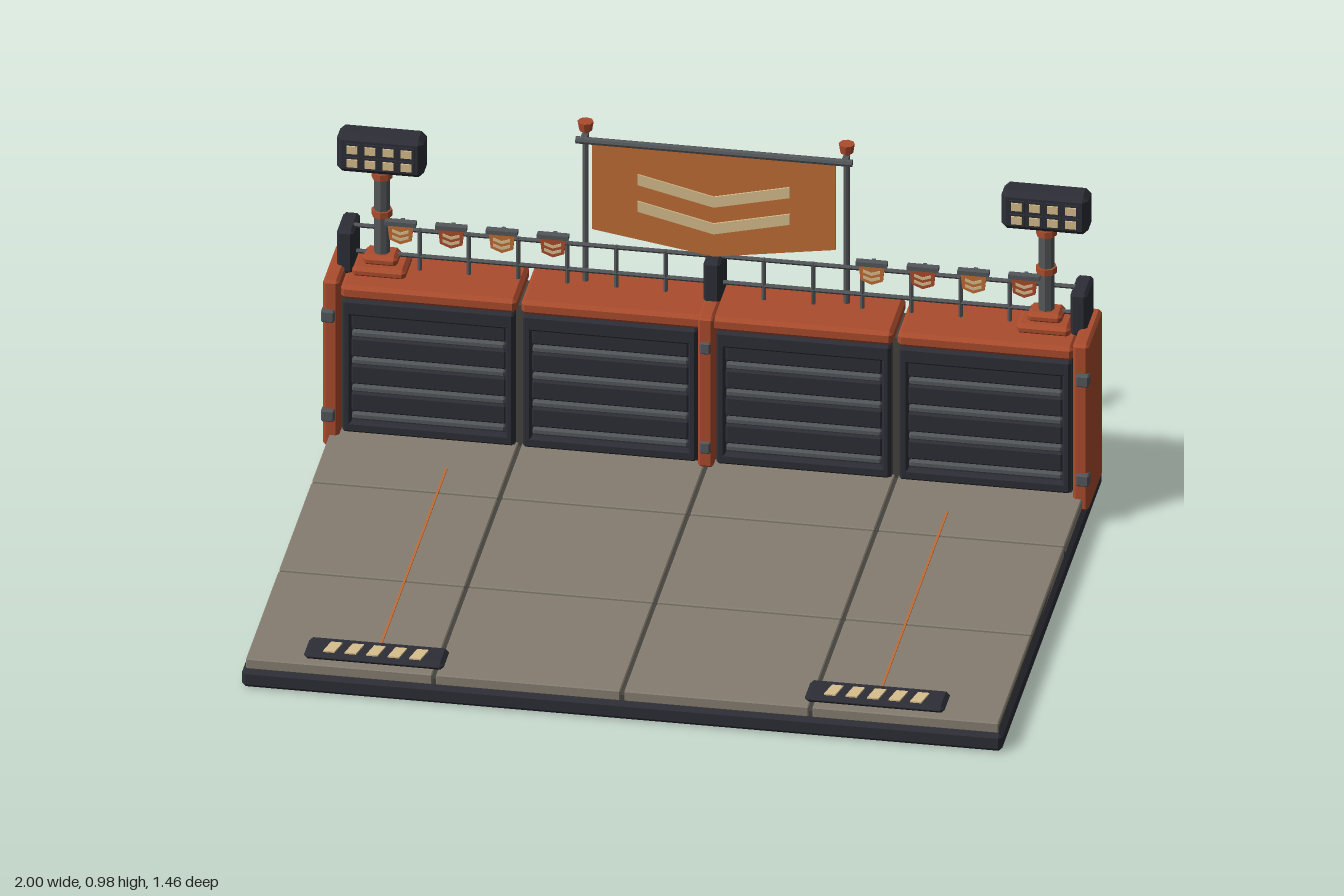
import * as THREE from 'three';
import { ConvexGeometry } from 'three/addons/geometries/ConvexGeometry.js';

const mat = (name, color, side = THREE.FrontSide) => {
  const m = new THREE.MeshStandardMaterial({ color, side, flatShading: true });
  m.name = name;
  return m;
};

// Box with chamfered edges
function chamferBox(w, h, d, c) {
  const pts = [];
  for (const x of [-1, 1]) for (const y of [-1, 1]) for (const z of [-1, 1]) {
    const [X, Y, Z] = [w / 2, h / 2, d / 2];
    pts.push(new THREE.Vector3(x * X, y * (Y - c), z * (Z - c)));
    pts.push(new THREE.Vector3(x * (X - c), y * Y, z * (Z - c)));
    pts.push(new THREE.Vector3(x * (X - c), y * (Y - c), z * Z));
  }
  return new ConvexGeometry(pts);
}

export function createModel() {
  const root = new THREE.Group();
  root.name = 'stageWall';
  const dark = mat('charcoal', 0x2d2e36);
  const seam = mat('seamGrey', 0x45443f);
  const floor = mat('floorStone', 0x857d71);
  const rust = mat('rustOrange', 0xac4c2d);
  const steel = mat('steelGrey', 0x54575a);
  const cloth = mat('clothOrange', 0xc16e37);
  const cream = mat('cream', 0xd8c08e);

  const add = (name, geo, m, x = 0, y = 0, z = 0, parent = root) => {
    const mesh = new THREE.Mesh(geo, m);
    mesh.name = name;
    mesh.position.set(x, y, z);
    parent.add(mesh);
    return mesh;
  };
  // Box given by its extents on each axis; c is the chamfer
  const box = (name, m, [x0, x1], [y0, y1], [z0, z1], c = 0, parent = root) => {
    const s = [x1 - x0, y1 - y0, z1 - z0];
    return add(name, c ? chamferBox(...s, c) : new THREE.BoxGeometry(...s), m,
      (x0 + x1) / 2, (y0 + y1) / 2, (z0 + z1) / 2, parent);
  };
  const rod = (name, m, r, y0, y1, x, z, sides = 8, r2 = r) =>
    add(name, new THREE.CylinderGeometry(r2, r, y1 - y0, sides), m, x, (y0 + y1) / 2, z);
  const plate = (name, m, points, depth, x, y, z) => {
    const shape = new THREE.Shape(points.map(p => new THREE.Vector2(...p)));
    return add(name, new THREE.ExtrudeGeometry(shape, { depth, bevelEnabled: false }), m, x, y, z);
  };
  // V-shaped stripe: half width, end top, centre top, thickness
  const chevron = (w, yEnd, yMid, t) =>
    [[-w, yEnd], [-w, yEnd - t], [0, yMid - t], [w, yEnd - t], [w, yEnd], [0, yMid]];

  // Base and floor slabs
  box('base', dark, [-0.99, 0.99], [0, 0.05], [-0.73, 0.73], 0.01);
  box('floorSeams', seam, [-0.98, 0.98], [0.045, 0.066], [-0.715, 0.715]);
  const cols = [-0.985, -0.49, 0, 0.49, 0.985], rows = [-0.725, -0.24, 0.24, 0.725];
  for (let i = 0; i < 4; i++) for (let j = 0; j < 3; j++)
    box('floorSlab', floor, [cols[i] + 0.005, cols[i + 1] - 0.005], [0.05, 0.08],
      [rows[j] + 0.005, rows[j + 1] - 0.005], 0.003);

  // Wall core
  box('wallCore', seam, [-0.965, 0.965], [0.07, 0.48], [-0.675, -0.54]);

  // Four bays: shutter, back panel and cap
  for (let i = 0; i < 4; i++) {
    const a = Math.max(cols[i], -0.96) + 0.006, b = Math.min(cols[i + 1], 0.96) - 0.006;
    const l = a + (i === 2 ? 0.02 : 0.006), r = b - (i === 1 ? 0.02 : 0.006);
    box('wallCap', rust, [a, b], [0.47, 0.51], [-0.71, -0.508], 0.01);
    box('backPanel', dark, [a, b], [0.08, 0.475], [-0.695, -0.66], 0.005);
    box('bayPanel', dark, [l, r], [0.08, 0.475], [-0.58, -0.525]);
    // Raised frame
    const z = [-0.53, -0.505];
    box('frameTop', dark, [l, r], [0.425, 0.47], z, 0.006);
    box('frameBottom', dark, [l, r], [0.085, 0.115], z, 0.006);
    box('frameSide', dark, [l, l + 0.022], [0.085, 0.465], z, 0.006);
    box('frameSide', dark, [r - 0.022, r], [0.085, 0.465], z, 0.006);
    // Shutter slats with pale strips
    for (let k = 0; k < 4; k++) {
      const y = 0.13 + k * 0.08;
      box('slat', dark, [l + 0.022, r - 0.022], [y + 0.012, y + 0.068], [-0.53, -0.514], 0.005);
      box('slatStrip', steel, [l + 0.024, r - 0.024], [y - 0.009, y + 0.009], [-0.53, -0.512], 0.004);
    }
  }

  // Centre post
  box('centrePost', rust, [-0.02, 0.02], [0.08, 0.515], [-0.56, -0.49], 0.006);
  box('centreCap', rust, [-0.02, 0.02], [0.47, 0.518], [-0.705, -0.5], 0.006);
  for (const y of [0.14, 0.43]) box('centreHinge', steel, [-0.014, 0.014], [y - 0.017, y + 0.017], [-0.5, -0.483], 0.004);
  box('centreRailBlock', dark, [-0.022, 0.022], [0.51, 0.63], [-0.69, -0.58], 0.008);

  for (const s of [-1, 1]) {
    const span = (p, q) => s > 0 ? [p, q] : [-q, -p];
    // End pillar with hinges
    box('endPillar', rust, span(0.955, 0.997), [0.045, 0.53], [-0.7, -0.493], 0.008);
    for (const y of [0.14, 0.43])
      box('hinge', steel, span(0.965, 1.0), [y - 0.017, y + 0.017], [-0.51, -0.48], 0.004);
    box('endRailBlock', dark, span(0.933, 0.977), [0.505, 0.63], [-0.69, -0.58], 0.008);

    // Railing posts
    for (let i = 1; i <= 6; i++) rod('railPost', steel, 0.006, 0.5, 0.63, s * 0.128 * i, -0.628, 6);

    // Small pennants
    [0.415, 0.548, 0.68, 0.812].forEach((x, i) => {
      const light = (s > 0 ? i : i + 1) % 2 === 0;
      const px = s * x;
      box('pennantBar', steel, [px - 0.041, px + 0.041], [0.655, 0.667], [-0.604, -0.584]);
      box('pennantBracket', steel, [px - 0.005, px + 0.005], [0.62, 0.657], [-0.628, -0.6]);
      plate('pennant', light ? cloth : rust,
        [[-0.034, 0.656], [-0.029, 0.612], [0, 0.6], [0.029, 0.612], [0.034, 0.656]], 0.006, px, 0, -0.597);
      for (const y of [0.643, 0.626])
        plate('pennantStripe', cream, chevron(0.022, y, y - 0.008, 0.008), 0.003, px, 0, -0.592);
    });

    // Banner pole and finial
    rod('bannerPole', steel, 0.008, 0.5, 0.955, s * 0.34, -0.648);
    rod('bannerFinial', rust, 0.017, 0.95, 0.975, s * 0.34, -0.648, 8, 0.021);
    box('bannerClip', steel, span(0.332, 0.348), [0.927, 0.943], [-0.65, -0.612]);

    // Floodlight tower
    const x = s * 0.865, z = -0.62;
    box('towerFoot', rust, [x - 0.07, x + 0.07], [0.505, 0.535], [z - 0.055, z + 0.055], 0.01);
    box('towerBase', rust, [x - 0.045, x + 0.045], [0.53, 0.56], [z - 0.035, z + 0.035], 0.01);
    rod('towerPole', steel, 0.021, 0.55, 0.81, x, z);
    for (const y of [0.675, 0.785]) rod('towerCollar', rust, 0.027, y - 0.009, y + 0.009, x, z);
    box('lampHousing', dark, [x - 0.113, x + 0.113], [0.797, 0.908], [-0.657, -0.584], 0.014);
    for (let i = 0; i < 4; i++) for (const y of [0.832, 0.871]) {
      const lx = x - 0.0705 + i * 0.047;
      box('lampBezel', dark, [lx - 0.02, lx + 0.02], [y - 0.016, y + 0.016], [-0.59, -0.579]);
      box('lampFace', cream, [lx - 0.014, lx + 0.014], [y - 0.011, y + 0.011], [-0.582, -0.575]);
    }

    // Guide line and floor lights
    const fx = s * 0.652;
    box('guideLine', cloth, [fx - 0.003, fx + 0.003], [0.076, 0.083], [-0.365, 0.61]);
    box('floorLight', dark, [fx - 0.182, fx + 0.182], [0.078, 0.1], [0.602, 0.698], 0.01);
    for (let i = -2; i <= 2; i++) {
      const m = plate('floorLightMark', cream,
        [[-0.021, 0.026], [-0.009, -0.026], [0.021, -0.026], [0.009, 0.026]].map(([a, b]) => [-a, b]),
        0.006, fx + i * 0.056, 0.098, 0.66);
      m.rotation.x = -Math.PI / 2;
    }
  }

  // Rails
  for (const y of [0.55, 0.625]) {
    const rail = add('rail', new THREE.CylinderGeometry(0.006, 0.006, 1.88, 6), steel, 0, y, -0.628);
    rail.rotation.z = Math.PI / 2;
  }

  // Banner with two chevrons
  const bar = add('bannerBar', new THREE.CylinderGeometry(0.01, 0.01, 0.72, 8), steel, 0, 0.935, -0.618);
  bar.rotation.z = Math.PI / 2;
  plate('banner', cloth, [[-0.317, 0.93], [-0.317, 0.68], [0, 0.63], [0.317, 0.68], [0.317, 0.93]], 0.008, 0, 0, -0.622);
  for (const y of [0.853, 0.775])
    plate('bannerChevron', cream, chevron(0.198, y, y - 0.047, 0.031), 0.005, 0, 0, -0.615);
  return root;
}
